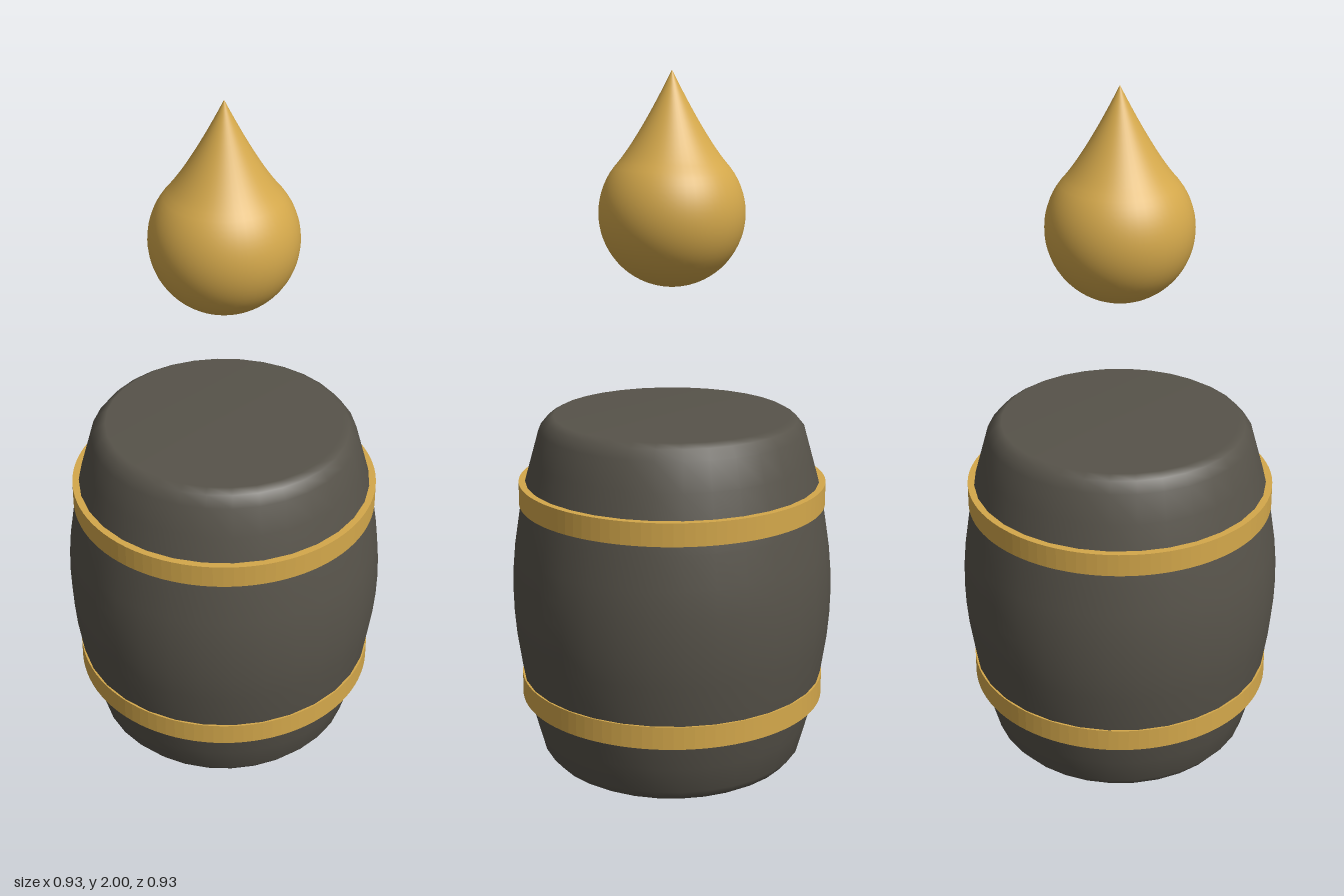
import * as THREE from 'three';

const iron = new THREE.MeshStandardMaterial({ name: 'dark grey', color: 0x57534a });
const gold = new THREE.MeshStandardMaterial({ name: 'gold', color: 0xd4a84b });

// Revolve a profile of [radius, height] pairs, listed from bottom to top
function turned(name, profile, sides, material) {
  const points = profile.map(([r, y]) => new THREE.Vector2(r, y));
  const mesh = new THREE.Mesh(new THREE.LatheGeometry(points, sides), material);
  mesh.name = name;
  return mesh;
}

export function createModel() {
  const group = new THREE.Group();
  group.name = 'barrelWithDrop';

  // Barrel body: lower half of the profile, mirrored for the upper half
  const height = 1.036;
  const lower = [[0, 0], [0.34, 0], [0.36, 0.012], [0.383, 0.04], [0.405, 0.12],
    [0.427, 0.2], [0.442, 0.28], [0.457, 0.38], [0.463, 0.45]];
  const upper = lower.map(([r, y]) => [r, height - y]).reverse();
  group.add(turned('barrelBody', [...lower, [0.465, height / 2], ...upper], 32, iron));

  // Two hoops with square edges
  const hoop = new THREE.Shape().absarc(0, 0, 0.443, 0, Math.PI * 2);
  hoop.holes.push(new THREE.Path().absarc(0, 0, 0.42, 0, Math.PI * 2, true));
  const hoopGeometry = new THREE.ExtrudeGeometry(hoop, {
    depth: 0.066, bevelEnabled: false, curveSegments: 48,
  }).rotateX(-Math.PI / 2);
  for (const [name, y] of [['lowerHoop', 0.198], ['upperHoop', 0.779]]) {
    const mesh = new THREE.Mesh(hoopGeometry, gold);
    mesh.name = name;
    mesh.position.y = y;
    group.add(mesh);
  }

  // Floating drop: round belly, then a concave taper to the tip
  const radius = 0.205, centre = 1.61, endAngle = 0.66;
  const drop = [];
  for (let i = 0; i <= 24; i++) {
    const a = -Math.PI / 2 + (Math.PI / 2 + endAngle) * i / 24;
    drop.push([i ? radius * Math.cos(a) : 0, centre + radius * Math.sin(a)]);
  }
  const [r0, y0] = drop[drop.length - 1];
  const taper = new THREE.CubicBezierCurve(
    new THREE.Vector2(r0, y0),
    new THREE.Vector2(r0 - 0.05, y0 + 0.055),
    new THREE.Vector2(0.05, 1.9),
    new THREE.Vector2(0, 2));
  taper.getPoints(12).slice(1).forEach((p) => drop.push([p.x, p.y]));
  group.add(turned('drop', drop, 48, gold));

  return group;
}
